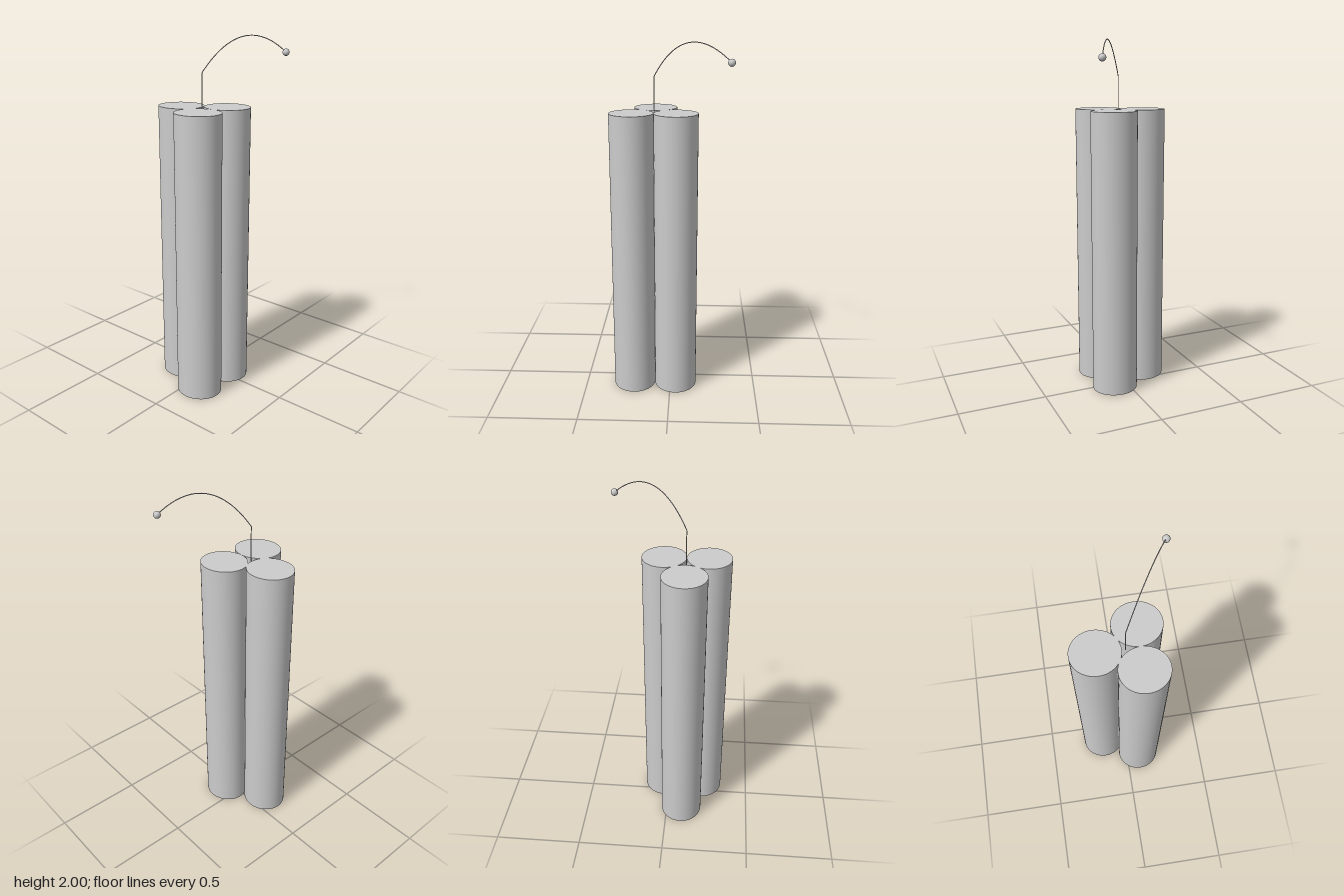
import * as THREE from 'three';

const material = new THREE.MeshStandardMaterial({ color: 0xcccccc });

function addPart(group, name, geometry) {
  const mesh = new THREE.Mesh(geometry, material);
  mesh.name = name;
  group.add(mesh);
  return mesh;
}

export function createModel() {
  const model = new THREE.Group();
  model.name = 'stickBundle';

  // Three slightly oval sticks standing in a triangle
  const height = 1.625, radiusX = 0.1215, radiusZ = 0.131;
  const sticks = [
    ['rightStick', -0.2125, 0.078],
    ['leftStick', 0.0305, 0.078],
    ['backStick', -0.091, -0.147],
  ];
  for (const [name, x, z] of sticks) {
    const stick = addPart(model, name, new THREE.CylinderGeometry(1, 1, height, 64));
    stick.scale.set(radiusX, 1, radiusZ);
    stick.position.set(x, height / 2, z);
  }

  // Thin fuse: straight up from the gap, then arching forward to the left
  const bottom = new THREE.Vector3(-0.091, 1.61, 0.002);
  const bend = new THREE.Vector3(-0.091, 1.81, 0.002);
  const tip = new THREE.Vector3(0.313, 1.905, 0.257);
  const arch = new THREE.QuadraticBezierCurve3(bend, new THREE.Vector3(0.079, 2.131, 0.137), tip);
  const fuseRadius = 0.0025;
  const fuse = new THREE.Group();
  fuse.name = 'fuse';
  model.add(fuse);
  addPart(fuse, 'fuseStem', new THREE.TubeGeometry(new THREE.LineCurve3(bottom, bend), 1, fuseRadius, 8));
  addPart(fuse, 'fuseArch', new THREE.TubeGeometry(arch, 48, fuseRadius, 8));

  // Small ball at the end of the fuse
  const ball = addPart(model, 'fuseTip', new THREE.SphereGeometry(0.0195, 16, 12));
  ball.position.copy(tip);

  return model;
}
